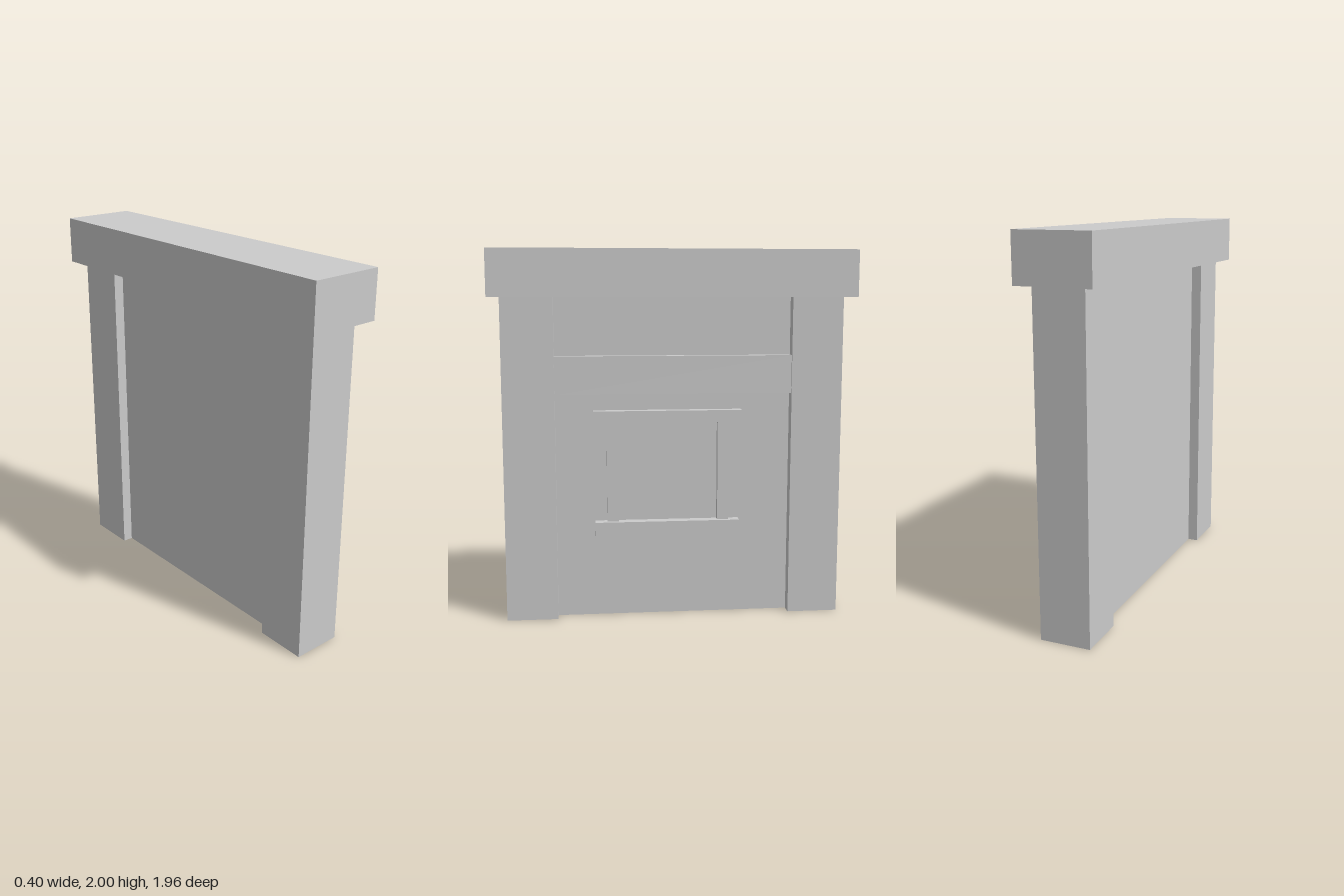
import * as THREE from 'three';

const material = new THREE.MeshStandardMaterial({ color: 0xcccccc, flatShading: true });

export function createModel() {
  const model = new THREE.Group();
  model.name = 'wallSection';

  // Adds a box spanning the given [min, max] ranges
  function block(name, x, y, z, parent = model) {
    const size = [x, y, z].map(([a, b]) => b - a);
    const mesh = new THREE.Mesh(new THREE.BoxGeometry(...size), material);
    mesh.position.set(...[x, y, z].map(([a, b]) => (a + b) / 2));
    mesh.name = name;
    parent.add(mesh);
  }

  // Main structure: panel between two pillars under a heavy beam
  const face = 0.072;
  block('wallPanel', [-0.078, face], [0, 1.75], [-0.64, 0.64]);
  block('frontPillar', [-0.135, 0.135], [0, 1.75], [0.64, 0.917]);
  block('backPillar', [-0.135, 0.135], [0, 1.75], [-0.917, -0.64]);
  block('topBeam', [-0.2, 0.2], [1.75, 2], [-0.978, 0.978]);

  // Horizontal rail across the panel
  block('crossRail', [face, 0.124], [1.235, 1.44], [-0.64, 0.64]);

  // Window frame, on the left face only
  const frame = new THREE.Group();
  frame.name = 'windowFrame';
  model.add(frame);
  block('windowHead', [face, 0.126], [1.08, 1.145], [-0.37, 0.44], frame);
  block('windowSill', [face, 0.128], [0.455, 0.535], [-0.36, 0.43], frame);
  block('frontJamb', [face, 0.107], [0.535, 1.08], [0.302, 0.365], frame);
  block('backJamb', [face, 0.107], [0.535, 1.08], [-0.302, -0.24], frame);

  return model;
}
